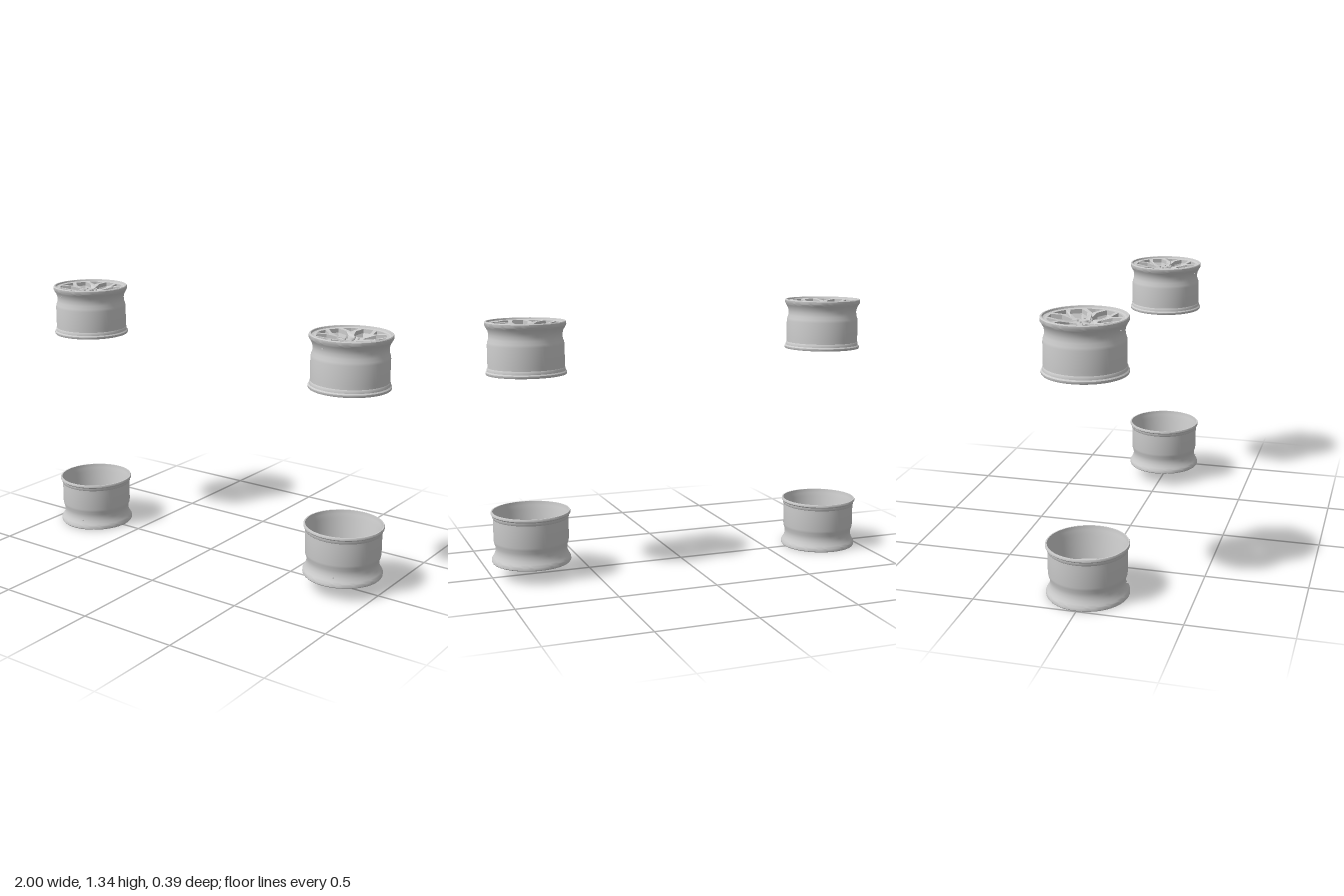
import * as THREE from 'three';
import { toCreasedNormals } from 'three/addons/utils/BufferGeometryUtils.js';

const HEIGHT = 0.258;
const DISH = 0.02; // how far the hub sits below the rim edge
const FACE = 0.228, FACE_DEPTH = 0.02, BACK = 0.165, BACK_DEPTH = 0.012;

const mat = new THREE.MeshStandardMaterial({ color: 0xcccccc, side: THREE.DoubleSide });
const polar = (r, deg) => {
  const a = THREE.MathUtils.degToRad(deg);
  return new THREE.Vector2(r * Math.cos(a), r * Math.sin(a));
};
const dishAt = r => -DISH * (1 - THREE.MathUtils.smoothstep(r, 0.045, 0.16));

function add(parent, name, geometry, x = 0, y = 0, z = 0) {
  const mesh = new THREE.Mesh(geometry, mat);
  mesh.name = name;
  mesh.position.set(x, y, z);
  parent.add(mesh);
  return mesh;
}

// Openings as [radius, angle offset]: a long window and a small pocket in each fork
const WINDOW = [[0.05, 0], [0.072, 21], [0.122, 19], [0.164, 9], [0.164, -9], [0.122, -19], [0.072, -21]];
const POCKET = [[0.118, 0], [0.166, 13], [0.168, 0], [0.166, -13]];
const openings = [];
for (let k = 0; k < 6; k++) {
  const windowCentre = polar(0.096, 30 + 60 * k);
  const windowTop = WINDOW.map(([r, a]) => polar(r, a + 30 + 60 * k));
  openings.push({
    top: windowTop,
    through: true,
    bottom: windowTop.map(p => p.clone().sub(windowCentre).setLength(0.031).add(windowCentre)),
  });
  const pocketCentre = polar(0.153, 60 * k);
  const pocketTop = POCKET.map(([r, a]) => polar(r, a + 60 * k));
  openings.push({
    top: pocketTop,
    through: false,
    bottom: pocketTop.map(p => p.clone().lerp(pocketCentre, 0.35)),
  });
}

// Flat disc with holes, lying in the xz plane
function plate(radius, bore, holes, depth) {
  const shape = new THREE.Shape().absarc(0, 0, radius, 0, Math.PI * 2);
  shape.holes.push(new THREE.Path().absarc(0, 0, bore, 0, Math.PI * 2, true));
  for (const h of holes) shape.holes.push(new THREE.Path(h));
  const geo = new THREE.ExtrudeGeometry(shape, { depth, bevelEnabled: false, curveSegments: 36 });
  return geo.rotateX(-Math.PI / 2);
}

// Lowers a geometry toward the hub
function dish(geo) {
  const p = geo.attributes.position;
  for (let i = 0; i < p.count; i++) p.setY(i, p.getY(i) + dishAt(Math.hypot(p.getX(i), p.getZ(i))));
  geo.computeVertexNormals();
  return geo;
}

// Tapered wall joining a face opening to its smaller outline behind
function pocketWall({ top, bottom }) {
  const pos = [];
  const n = top.length;
  for (let i = 0; i < n; i++) {
    const j = (i + 1) % n;
    const t = p => [p.x, FACE + dishAt(p.length()), -p.y];
    const b = p => [p.x, BACK + BACK_DEPTH, -p.y];
    pos.push(...t(top[i]), ...t(top[j]), ...b(bottom[j]));
    pos.push(...t(top[i]), ...b(bottom[j]), ...b(bottom[i]));
  }
  const geo = new THREE.BufferGeometry();
  geo.setAttribute('position', new THREE.Float32BufferAttribute(pos, 3));
  geo.computeVertexNormals();
  return geo;
}

function createWheel(name) {
  const wheel = new THREE.Group();
  wheel.name = name;

  // Barrel with both flanges, outer side up and inner side back down
  const profile = [
    [0.189, 0], [0.195, 0], [0.197, 0.003], [0.197, 0.012], [0.191, 0.018], [0.19, 0.03],
    [0.187, 0.034], [0.187, 0.05], [0.187, 0.145], [0.185, 0.158], [0.179, 0.175], [0.178, 0.195],
    [0.182, 0.213], [0.19, 0.228], [0.195, 0.236], [0.197, 0.24], [0.197, 0.254], [0.194, HEIGHT],
    [0.187, HEIGHT], [0.184, 0.25], [0.175, 0.247], [0.172, 0.235], [0.17, 0.175], [0.178, 0.15],
    [0.18, 0.04], [0.187, 0.02], [0.189, 0],
  ].map(([r, y]) => new THREE.Vector2(r, y));
  add(wheel, 'rimBarrel', toCreasedNormals(new THREE.LatheGeometry(profile, 72), 0.6));

  // Forked spokes and the plate behind them
  add(wheel, 'spokeFace', dish(plate(0.176, 0.02, openings.map(o => o.top), FACE_DEPTH)), 0, FACE);
  add(wheel, 'backPlate', plate(0.174, 0.02, openings.filter(o => o.through).map(o => o.bottom), BACK_DEPTH), 0, BACK);
  for (const o of openings) add(wheel, o.through ? 'windowWall' : 'pocketWall', pocketWall(o));

  // Hub, centre cap and lug nuts
  const hubTop = FACE + FACE_DEPTH - DISH;
  add(wheel, 'hub', new THREE.CylinderGeometry(0.021, 0.04, hubTop - BACK, 36), 0, (hubTop + BACK) / 2);
  add(wheel, 'centreCap', new THREE.CylinderGeometry(0.015, 0.018, 0.008, 32), 0, hubTop + 0.004);
  for (let i = 0; i < 5; i++) {
    const p = polar(0.033, 90 + 72 * i);
    add(wheel, 'lugNut', new THREE.CylinderGeometry(0.0045, 0.0055, 0.01, 6), p.x, hubTop + 0.004, -p.y);
  }

  // Valve stem on the neck of the barrel
  const valve = add(wheel, 'valveStem', new THREE.CylinderGeometry(0.004, 0.004, 0.012, 12), -0.049, 0.211, 0.174);
  valve.rotation.x = Math.PI / 2;
  return wheel;
}

export function createModel() {
  const model = new THREE.Group();
  model.name = 'wheelSet';
  // Upper wheels face up, lower wheels face down
  const layout = [
    ['upperRightWheel', -0.803, 1.078, false],
    ['upperLeftWheel', 0.803, 1.013, false],
    ['lowerRightWheel', -0.802, 0, true],
    ['lowerLeftWheel', 0.799, 0.071, true],
  ];
  for (const [name, x, y, flipped] of layout) {
    const wheel = createWheel(name);
    wheel.position.set(x, flipped ? y + HEIGHT : y, 0);
    if (flipped) wheel.rotation.z = Math.PI;
    model.add(wheel);
  }
  return model;
}
